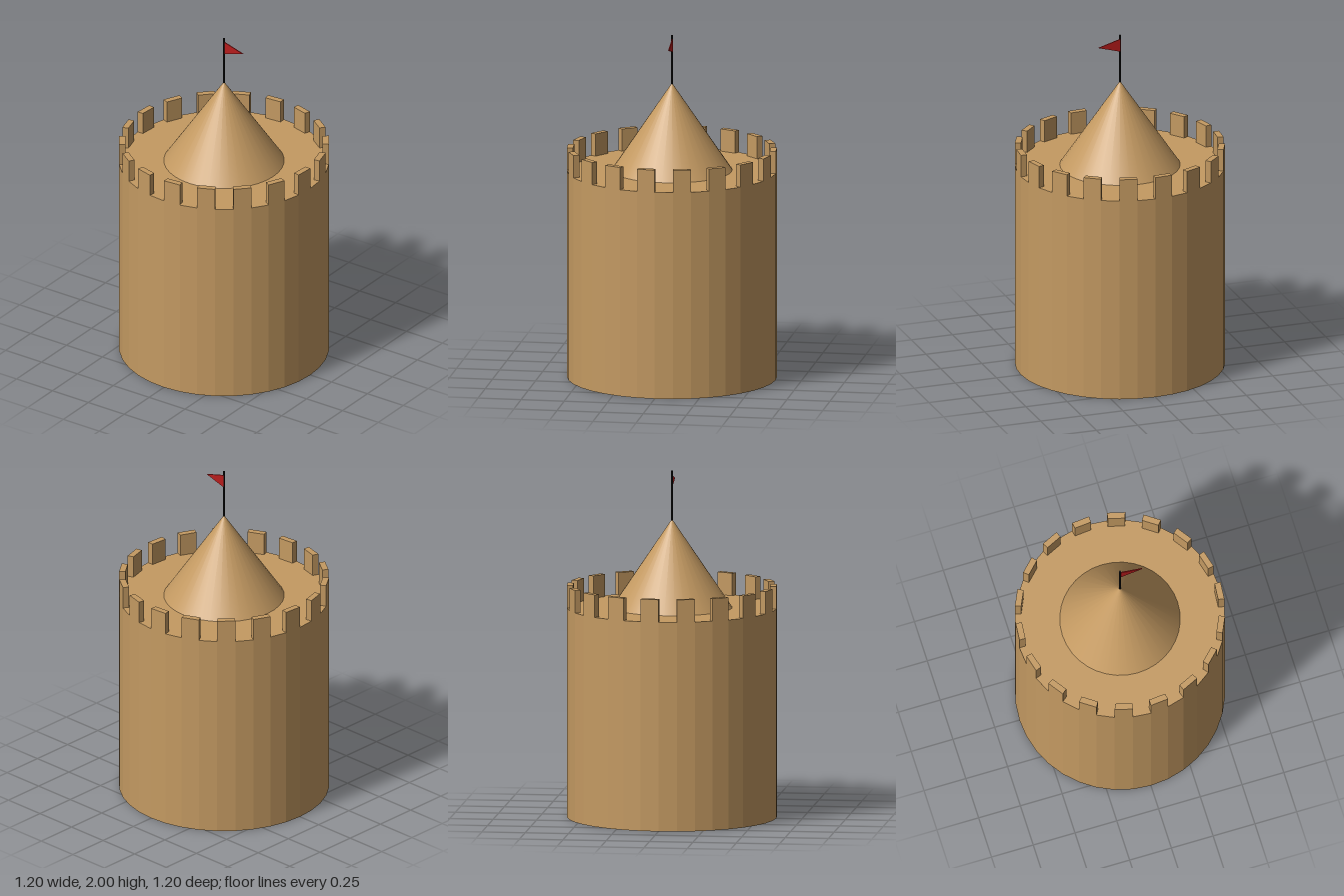
import * as THREE from 'three';

const R = 0.602, FLOOR = 1.21, TOP = 1.34, SIDES = 36;

export function createModel() {
  const model = new THREE.Group();
  model.name = 'tower';
  const stone = new THREE.MeshStandardMaterial({ color: 0xc49a62, flatShading: true });
  const roofMat = new THREE.MeshStandardMaterial({ color: 0xc49a62 });
  const poleMat = new THREE.MeshStandardMaterial({ color: 0x151515 });
  const flagMat = new THREE.MeshStandardMaterial({ color: 0xb71c1c });

  const add = (name, geometry, material, parent = model) => {
    const mesh = new THREE.Mesh(geometry, material);
    mesh.name = name;
    parent.add(mesh);
    return mesh;
  };

  // Faceted round wall
  add('wall', new THREE.CylinderGeometry(R, R, FLOOR, SIDES), stone).position.y = FLOOR / 2;

  // Merlons: one on every second facet, with radial ends
  const step = (Math.PI * 2) / SIDES;
  const inner = R - 0.036;
  const plan = new THREE.Shape([
    new THREE.Vector2(0, -inner),
    new THREE.Vector2(0, -R),
    new THREE.Vector2(Math.sin(step) * R, -Math.cos(step) * R),
    new THREE.Vector2(Math.sin(step) * inner, -Math.cos(step) * inner),
  ]);
  const merlonGeo = new THREE.ExtrudeGeometry(plan, { depth: TOP - FLOOR, bevelEnabled: false });
  merlonGeo.rotateX(-Math.PI / 2);
  const battlements = new THREE.Group();
  battlements.name = 'battlements';
  model.add(battlements);
  for (let i = 0; i < SIDES; i += 2) {
    const merlon = add('merlon', merlonGeo, stone, battlements);
    merlon.position.y = FLOOR;
    merlon.rotation.y = i * step;
  }

  // Smooth conical roof
  const roofHeight = 0.51;
  add('roof', new THREE.ConeGeometry(0.345, roofHeight, SIDES), roofMat).position.y = FLOOR + roofHeight / 2;

  // Flagpole
  add('flagpole', new THREE.CylinderGeometry(0.005, 0.005, 0.3, 12), poleMat).position.y = 1.85;

  // Pennant
  const pennant = new THREE.Shape([
    new THREE.Vector2(0, 1.9),
    new THREE.Vector2(0.132, 1.938),
    new THREE.Vector2(0, 1.976),
  ]);
  const flagGeo = new THREE.ExtrudeGeometry(pennant, { depth: 0.006, bevelEnabled: false });
  add('flag', flagGeo, flagMat).position.z = -0.005;

  return model;
}
